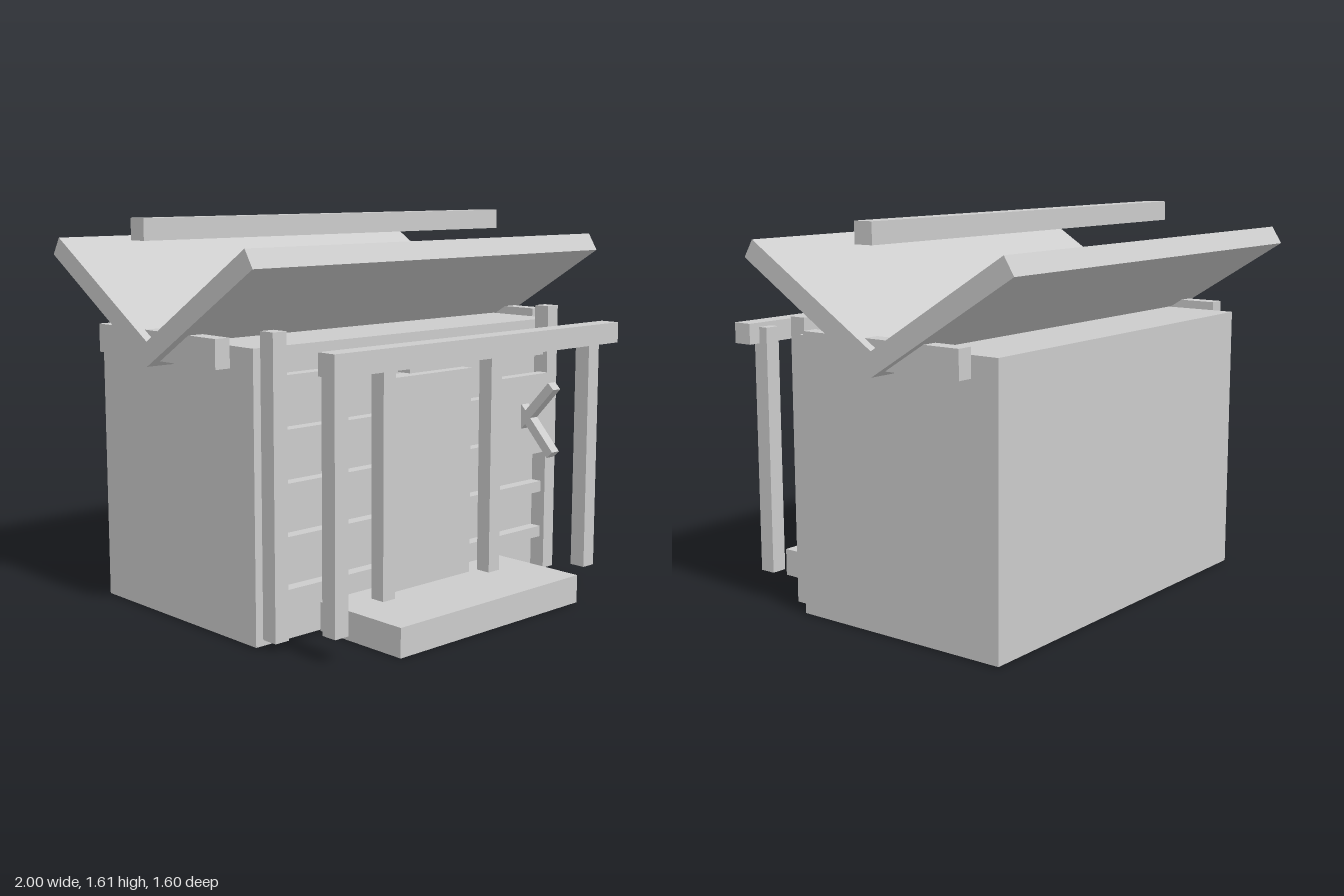
import * as THREE from 'three';

export function createModel() {
  const model = new THREE.Group();
  model.name = 'hut';
  const plainGrey = new THREE.MeshStandardMaterial({ color: 0xcccccc });
  plainGrey.name = 'plain grey';

  // Box given by its extents along each axis
  function box(name, x0, x1, y0, y1, z0, z1) {
    const mesh = new THREE.Mesh(new THREE.BoxGeometry(x1 - x0, y1 - y0, z1 - z0), plainGrey);
    mesh.position.set((x0 + x1) / 2, (y0 + y1) / 2, (z0 + z1) / 2);
    mesh.name = name;
    model.add(mesh);
    return mesh;
  }
  // Matching boxes on the left and right
  function pair(name, x0, x1, ...yz) {
    box(name + 'Left', x0, x1, ...yz);
    box(name + 'Right', -x1, -x0, ...yz);
  }

  // Main body and front step
  box('body', -0.845, 0.845, 0.005, 1.145, -0.635, 0.352);
  box('step', -0.52, 0.52, 0, 0.118, 0.352, 0.8);

  // Posts, porch beam and roof brackets
  pair('cornerPost', 0.747, 0.813, 0.03, 1.208, 0.355, 0.428);
  pair('porchPost', 0.69, 0.757, 0.1, 1.14, 0.63, 0.7);
  pair('doorPost', 0.277, 0.342, 0.115, 1.03, 0.455, 0.522);
  pair('roofBracket', 0.865, 0.933, 1.063, 1.178, -0.528, 0.24);
  box('porchBeam', -0.81, 0.81, 1.072, 1.158, 0.672, 0.758);

  // Door and lintel
  box('door', -0.228, 0.228, 0.115, 0.987, 0.352, 0.455);
  box('lintel', -0.2, 0.2, 1.01, 1.073, 0.455, 0.522);

  // Horizontal wall slats
  for (let i = 0; i < 5; i++) {
    const y = 0.196 + i * 0.2055;
    box('wallSlat' + (i + 1), -0.75, 0.75, y - 0.024, y + 0.024, 0.35, 0.405);
  }

  // Wall panel with crossed pegs
  box('wallPanel', 0.42, 0.725, 0.57, 0.92, 0.4, 0.452);
  for (const s of [1, -1]) {
    const peg = box('crossedPeg' + (s > 0 ? 'Upper' : 'Lower'), 0.55, 0.596, -0.02, 0.02, -0.127, 0.127);
    peg.position.y = 0.745 + s * 0.054;
    peg.position.z = 0.526;
    peg.rotation.x = -s * 0.825;
  }

  // Two roof slabs meeting in a valley
  const slope = Math.atan2(0.407, 0.655), length = 0.771, thick = 0.083;
  for (const s of [1, -1]) {
    const slab = box('roofSlab' + (s > 0 ? 'Front' : 'Back'), -0.97, 0.97, 0, thick, 0, length);
    const c = Math.cos(slope), n = Math.sin(slope);
    slab.position.y = 1.041 + (length / 2) * n + (thick / 2) * c;
    slab.position.z = -0.144 + s * ((length / 2) * c - (thick / 2) * n);
    slab.rotation.x = -s * slope;
  }

  // Ridge bar above the valley
  box('ridgeBar', -1, 1, 1.527, 1.612, -0.187, -0.102);

  return model;
}
